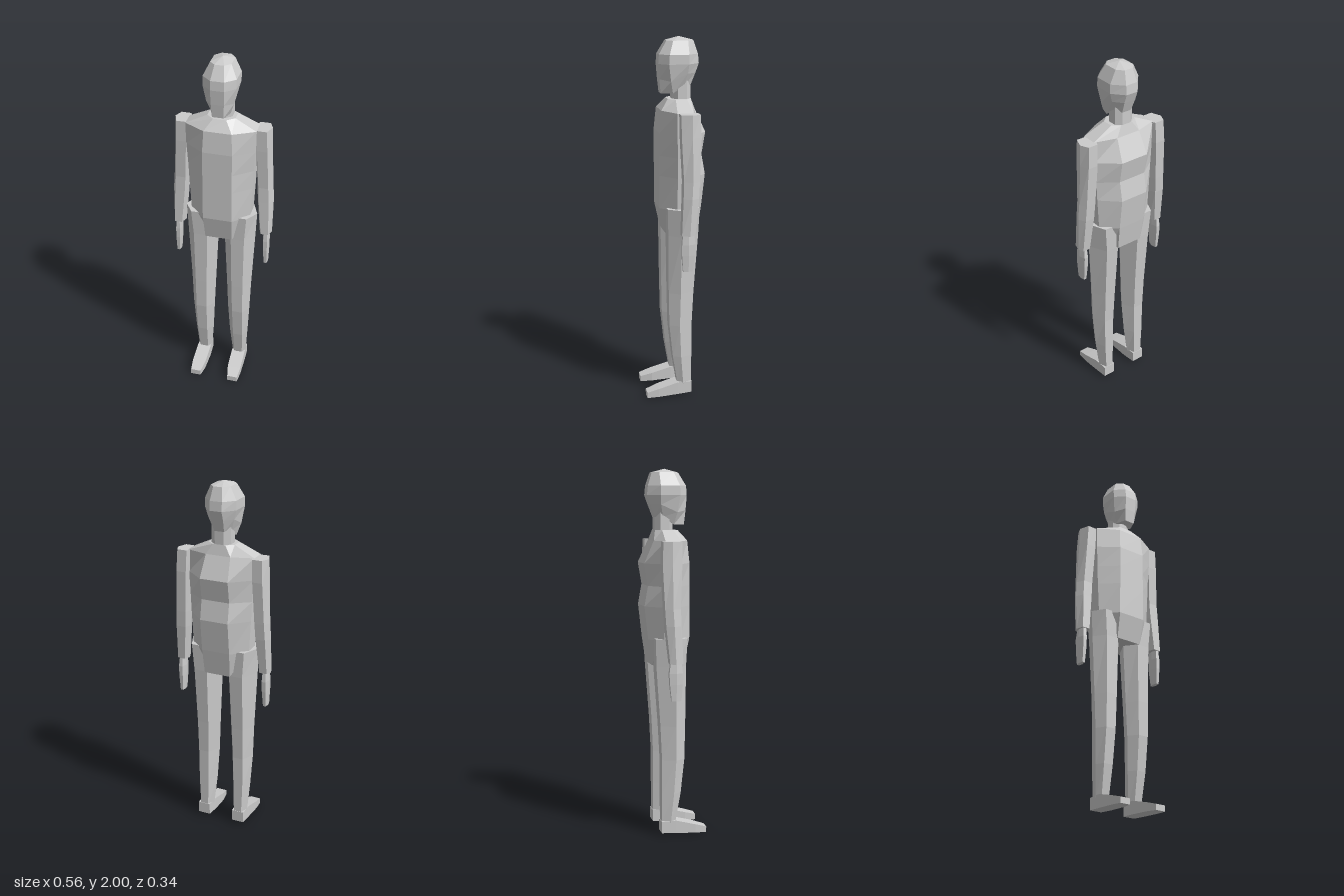
import * as THREE from 'three';

const grey = new THREE.MeshStandardMaterial({ color: 0xcccccc });
grey.name = 'plain grey';

// Skins a stack of rings (each a list of [x, y, z]) with flat faces and closes both ends.
function loft(name, rings, topPoint) {
  const pos = [];
  const tri = (a, b, c) => pos.push(...a, ...b, ...c);
  const centre = (r) => [0, 1, 2].map((k) => r.reduce((s, p) => s + p[k], 0) / r.length);
  const n = rings[0].length;
  const first = rings[0], last = rings[rings.length - 1];
  const c0 = centre(first), c1 = topPoint || centre(last);
  for (let i = 0; i < n; i++) {
    const j = (i + 1) % n;
    for (let r = 0; r + 1 < rings.length; r++) {
      const a = rings[r], b = rings[r + 1];
      tri(a[i], a[j], b[j]);
      tri(a[i], b[j], b[i]);
    }
    tri(c0, first[j], first[i]);
    tri(c1, last[i], last[j]);
  }
  const g = new THREE.BufferGeometry();
  g.setAttribute('position', new THREE.Float32BufferAttribute(pos, 3));
  g.computeVertexNormals();
  const mesh = new THREE.Mesh(g, grey);
  mesh.name = name;
  return mesh;
}

// Mirrors rings across x = 0 while keeping the faces outward.
const mirror = (rings) => rings.map((r) => r.map(([x, y, z]) => [-x, y, z]).reverse());

// Symmetric eight-sided ring: front, side and back widths, with the four depths.
// yf / yb tilt the ring by giving the front and back different heights.
function octagon([yf, ys, yb, f, w, b, zf, z1, z2, zb]) {
  return [
    [-f, yf, zf], [f, yf, zf], [w, ys, z1], [w, yb, z2],
    [b, yb, zb], [-b, yb, zb], [-w, yb, z2], [-w, ys, z1],
  ];
}
const level = (y, ...rest) => octagon([y, y, y, ...rest]);

// Six-sided limb ring with a flat front and back and pointed sides.
function hexagon([y, inner, outer, fi, fo, zf, zm, zb]) {
  return [[fi, y, zf], [fo, y, zf], [outer, y, zm], [fo, y, zb], [fi, y, zb], [inner, y, zm]];
}

export function createModel() {
  const model = new THREE.Group();
  model.name = 'standingFigure';

  // Torso, from hips to the base of the neck
  model.add(loft('torso', [
    level(0.95, 0.075, 0.085, 0.075, 0.05, 0.0, -0.08, -0.13),
    level(1.09, 0.08, 0.165, 0.08, 0.08, 0.0, -0.08, -0.15),
    level(1.27, 0.08, 0.175, 0.08, 0.08, 0.0, -0.08, -0.17),
    level(1.38, 0.08, 0.18, 0.08, 0.08, 0.0, -0.08, -0.15),
    level(1.5, 0.08, 0.187, 0.08, 0.08, 0.005, -0.08, -0.17),
    level(1.62, 0.075, 0.19, 0.07, 0.068, 0.005, -0.08, -0.115),
    level(1.675, 0.035, 0.075, 0.035, 0.025, -0.01, -0.07, -0.1),
  ]));

  // Neck
  model.add(loft('neck', [
    level(1.65, 0.025, 0.055, 0.025, 0.0, -0.025, -0.075, -0.1),
    level(1.78, 0.025, 0.055, 0.025, 0.0, -0.025, -0.075, -0.1),
  ]));

  // Head, with a low chin in front and a raised nape behind
  model.add(loft('head', [
    octagon([1.705, 1.705, 1.745, 0.03, 0.052, 0.028, 0.062, 0.0, -0.06, -0.1]),
    octagon([1.78, 1.77, 1.81, 0.034, 0.074, 0.034, 0.07, 0.015, -0.075, -0.125]),
    level(1.86, 0.036, 0.088, 0.034, 0.076, 0.028, -0.08, -0.143),
    level(1.91, 0.036, 0.088, 0.034, 0.072, 0.025, -0.08, -0.138),
    level(1.98, 0.025, 0.055, 0.025, 0.03, 0.0, -0.08, -0.115),
  ], [0, 2, -0.04]));

  // Limb rings for the left side, mirrored for the right
  const leg = [
    [1.1, 0.03, 0.2, 0.065, 0.155, 0.05, -0.02, -0.125],
    [0.95, 0.017, 0.192, 0.068, 0.143, 0.045, -0.02, -0.12],
    [0.62, 0.032, 0.175, 0.073, 0.138, 0.042, -0.018, -0.097],
    [0.43, 0.04, 0.168, 0.077, 0.137, 0.038, -0.015, -0.088],
    [0.24, 0.05, 0.157, 0.08, 0.135, 0.018, -0.025, -0.088],
    [0.07, 0.065, 0.145, 0.083, 0.128, -0.01, -0.04, -0.088],
  ].map(hexagon).reverse();

  const arm = [
    [1.62, 0.168, 0.262, 0.188, 0.242, -0.003, -0.06, -0.105],
    [1.5, 0.174, 0.265, 0.192, 0.248, -0.005, -0.06, -0.11],
    [1.27, 0.188, 0.277, 0.203, 0.257, -0.015, -0.06, -0.1],
    [1.18, 0.193, 0.282, 0.208, 0.262, -0.012, -0.055, -0.095],
    [0.98, 0.21, 0.28, 0.225, 0.267, -0.003, -0.045, -0.075],
  ].map(hexagon).reverse();

  const hand = [
    [1.0, 0.235, 0.265, 0.242, 0.258, -0.012, -0.04, -0.068],
    [0.93, 0.232, 0.27, 0.24, 0.262, -0.005, -0.04, -0.078],
    [0.87, 0.234, 0.269, 0.241, 0.262, -0.005, -0.04, -0.075],
    [0.78, 0.24, 0.265, 0.245, 0.26, -0.012, -0.04, -0.065],
  ].map(hexagon).reverse();

  // Foot sections run from heel to toe: depth, inner and outer x, sole and top heights
  const foot = [
    [-0.09, 0.072, 0.142, 0.015, 0.08],
    [-0.01, 0.067, 0.145, 0.01, 0.082],
    [0.1, 0.07, 0.147, 0.004, 0.052],
    [0.165, 0.083, 0.141, 0, 0.032],
  ].map(([z, x0, x1, y0, y1]) => [[x0, y0, z], [x1, y0, z], [x1, y1, z], [x0, y1, z]]);

  for (const [part, rings] of Object.entries({ Leg: leg, Arm: arm, Hand: hand, Foot: foot })) {
    model.add(loft('left' + part, rings));
    model.add(loft('right' + part, mirror(rings)));
  }
  return model;
}
